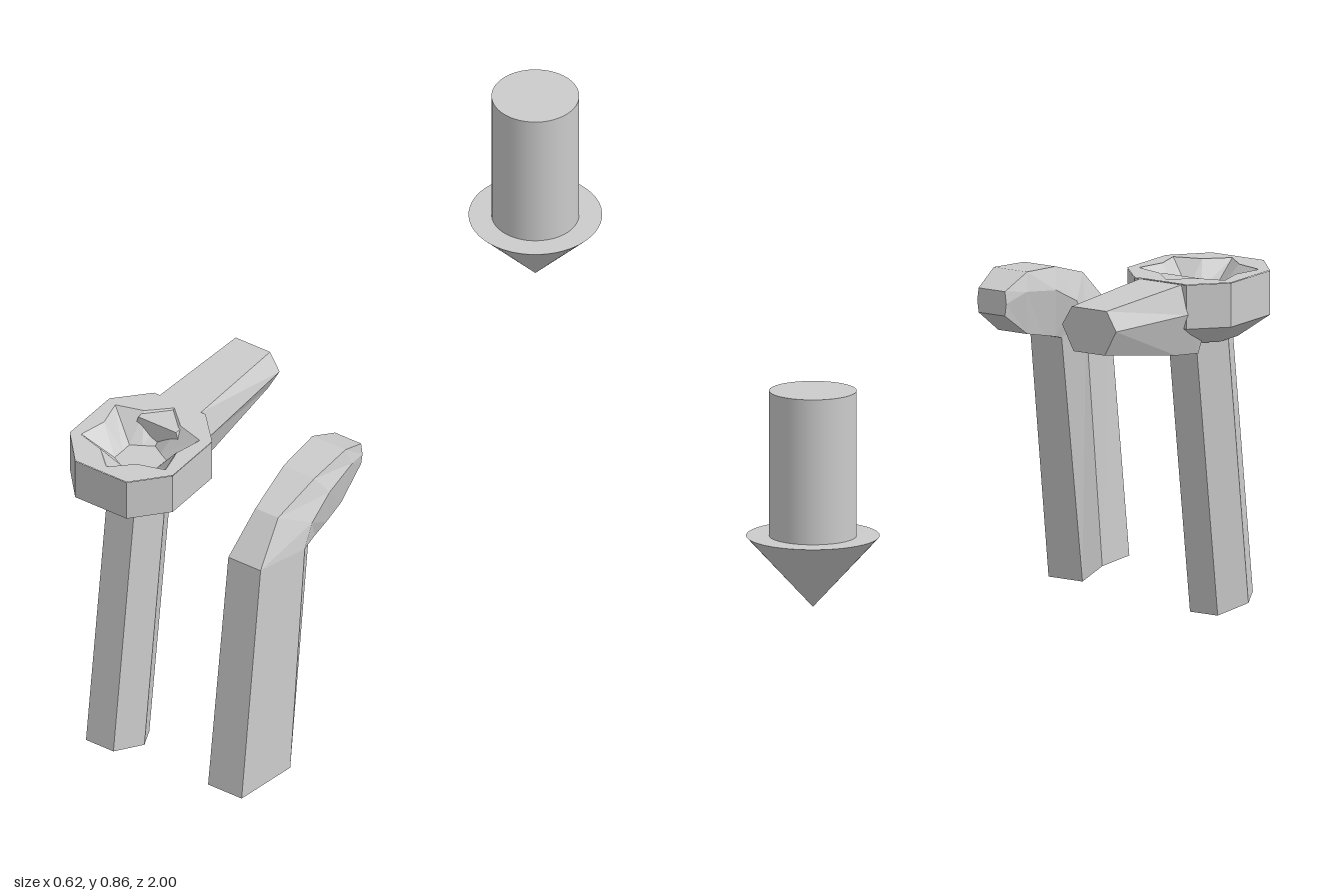
import * as THREE from 'three';

const flat = new THREE.MeshStandardMaterial({ color: 0xcccccc, flatShading: true });
const smooth = new THREE.MeshStandardMaterial({ color: 0xcccccc });

// Skin a run of rings; rings go counter-clockwise seen from the end of the run
function loft(rings, capStart = true, capEnd = true) {
  const pos = [];
  const tri = (...pts) => pts.forEach((p) => pos.push(...p));
  const n = rings[0].length;
  for (let r = 0; r + 1 < rings.length; r++) {
    for (let i = 0; i < n; i++) {
      const j = (i + 1) % n;
      tri(rings[r][i], rings[r][j], rings[r + 1][j]);
      tri(rings[r][i], rings[r + 1][j], rings[r + 1][i]);
    }
  }
  const first = rings[0], last = rings[rings.length - 1];
  for (let i = 1; i + 1 < n; i++) {
    if (capStart) tri(first[0], first[i + 1], first[i]);
    if (capEnd) tri(last[0], last[i], last[i + 1]);
  }
  const geo = new THREE.BufferGeometry();
  geo.setAttribute('position', new THREE.Float32BufferAttribute(pos, 3));
  geo.computeVertexNormals();
  return geo;
}

// Six-sided section from front, side and back points, each [z, y, half width]
const hexRing = ([front, side, back]) => {
  const at = ([z, y, w], s) => [s * w, y, z];
  return [at(side, 1), at(back, 1), at(back, -1), at(side, -1), at(front, -1), at(front, 1)];
};

// Eight-sided ring, counter-clockwise from above
const octRing = (y, w, f, zs) => [
  [w, y, zs[1]], [w, y, zs[2]], [f, y, zs[3]], [-f, y, zs[3]],
  [-w, y, zs[2]], [-w, y, zs[1]], [-f, y, zs[0]], [f, y, zs[0]],
];

// Six-pointed star ring, counter-clockwise from above
const starRing = (y, rOut, rIn, cz) => Array.from({ length: 12 }, (_, i) => {
  const a = Math.PI / 6 + (i * Math.PI) / 6;
  const r = i % 2 ? rIn : rOut;
  return [r * Math.cos(a), y, cz - r * Math.sin(a)];
});

function add(parent, name, geo, mat = flat) {
  const mesh = new THREE.Mesh(geo, mat);
  mesh.name = name;
  parent.add(mesh);
  return mesh;
}

function cupPiece() {
  const g = new THREE.Group();
  g.name = 'cupPiece';

  // slanted six-sided leg
  add(g, 'leg', loft([
    [[0.98, 0.032, 0.04], [0.905, 0.022, 0.078], [0.83, 0, 0.04]],
    [[0.89, 0.72, 0.04], [0.815, 0.72, 0.078], [0.735, 0.71, 0.04]],
  ].map(hexRing)));

  // eight-sided head with a funnel below
  const zs = [0.975, 0.89, 0.725, 0.645];
  const rim = octRing(0.848, 0.15, 0.075, zs);
  add(g, 'head', loft([
    octRing(0.685, 0.078, 0.04, [0.9, 0.86, 0.78, 0.74]),
    octRing(0.74, 0.15, 0.075, zs),
    rim,
  ], true, false));

  // flat rim around the star-shaped pit
  const star = starRing(0.85, 0.142, 0.106, 0.81);
  const flatten = (ring) => ring.map(([x, , z]) => new THREE.Vector2(x, -z));
  const shape = new THREE.Shape(flatten(rim));
  shape.holes.push(new THREE.Path(flatten(star)));
  const lid = add(g, 'rim', new THREE.ShapeGeometry(shape).rotateX(-Math.PI / 2));
  lid.position.y = 0.849;
  add(g, 'pit', loft([star, starRing(0.785, 0.062, 0.053, 0.81)], false, true));

  // tapered handle pointing back
  add(g, 'handle', loft([
    [[0.74, 0.844, 0.055], [0.74, 0.77, 0.078], [0.74, 0.66, 0.045]],
    [[0.645, 0.847, 0.06], [0.645, 0.775, 0.078], [0.645, 0.672, 0.045]],
    [[0.34, 0.837, 0.05], [0.34, 0.79, 0.078], [0.34, 0.728, 0.045]],
  ].map(hexRing)));

  g.position.x = -0.15;
  return g;
}

function bentPiece() {
  const g = new THREE.Group();
  g.name = 'bentPiece';
  // straight leg curling over into a narrow tip
  add(g, 'bentBar', loft([
    [[1.0, 0.07, 0.049], [0.84, 0.077, 0.079], [0.8, 0.043, 0.049]],
    [[0.918, 0.7, 0.047], [0.775, 0.69, 0.076], [0.717, 0.655, 0.045]],
    [[0.825, 0.795, 0.033], [0.74, 0.745, 0.073], [0.69, 0.663, 0.045]],
    [[0.69, 0.835, 0.045], [0.66, 0.785, 0.068], [0.64, 0.675, 0.045]],
    [[0.565, 0.845, 0.048], [0.55, 0.8, 0.058], [0.575, 0.69, 0.042]],
    [[0.485, 0.81, 0.038], [0.485, 0.78, 0.042], [0.485, 0.75, 0.038]],
  ].map(hexRing)));
  g.position.x = 0.229;
  return g;
}

function downArrow() {
  const g = new THREE.Group();
  g.name = 'downArrow';
  const shaft = add(g, 'arrowShaft', new THREE.CylinderGeometry(0.105, 0.105, 0.355, 48), smooth);
  shaft.position.y = 0.6775;
  const head = add(g, 'arrowHead', new THREE.CylinderGeometry(0.16, 0, 0.175, 48), smooth);
  head.position.y = 0.4125;
  g.position.set(-0.15, 0, -0.84);
  return g;
}

export function createModel() {
  const model = new THREE.Group();
  model.name = 'model';
  model.add(cupPiece(), bentPiece(), downArrow());
  return model;
}
